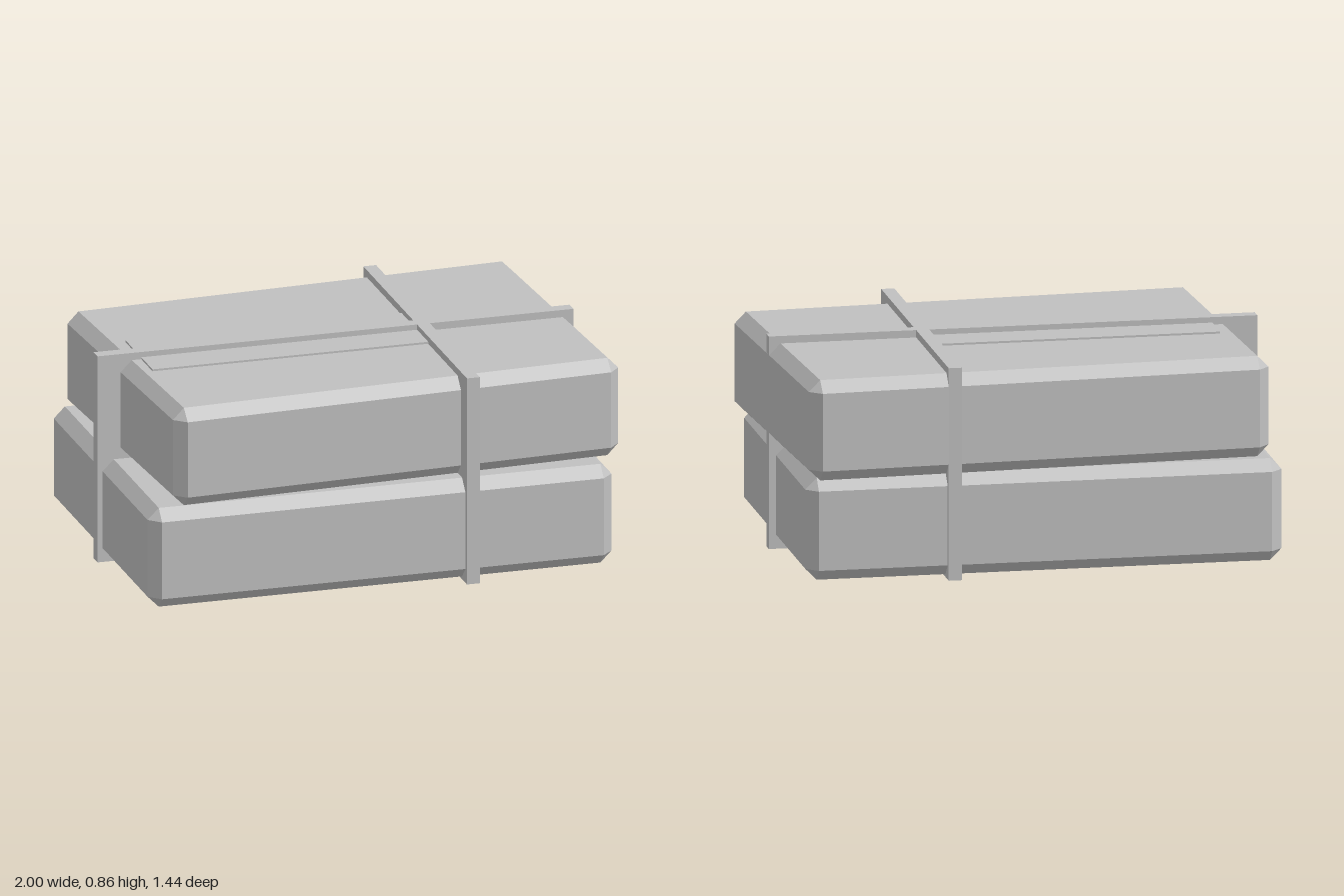
import * as THREE from 'three';
import { ConvexGeometry } from 'three/addons/geometries/ConvexGeometry.js';

// Box whose twelve edges are cut by a flat bevel, with triangular corners
function bevelledBox(w, h, d, b) {
  const points = [];
  for (const sx of [-1, 1]) for (const sy of [-1, 1]) for (const sz of [-1, 1]) {
    const x = w / 2, y = h / 2, z = d / 2;
    points.push(
      new THREE.Vector3(sx * x, sy * (y - b), sz * (z - b)),
      new THREE.Vector3(sx * (x - b), sy * y, sz * (z - b)),
      new THREE.Vector3(sx * (x - b), sy * (y - b), sz * z)
    );
  }
  return new ConvexGeometry(points);
}

export function createModel() {
  const group = new THREE.Group();
  const grey = new THREE.MeshStandardMaterial({ color: 0xc0c0c0 });
  grey.name = 'grey';

  function add(name, geometry, x, y, z, turn = 0) {
    const mesh = new THREE.Mesh(geometry, grey);
    mesh.name = name;
    mesh.position.set(x, y, z);
    mesh.rotation.y = turn;
    group.add(mesh);
  }

  // Two stacked parcels, the upper one slightly askew
  add('lowerParcel', bevelledBox(1.92, 0.414, 1.37, 0.046), -0.02, 0.219, 0.008);
  add('upperParcel', bevelledBox(1.874, 0.408, 1.326, 0.046), 0.03, 0.63, -0.017, 0.05);

  // Crossed straps standing proud of the stack on every side
  add('longStrap', new THREE.BoxGeometry(1.97, 0.864, 0.053), -0.016, 0.432, 0.008);
  add('crossStrap', new THREE.BoxGeometry(0.053, 0.864, 1.412), 0.348, 0.432, 0.008);

  // Thin label lying under the straps
  add('label', new THREE.BoxGeometry(1.17, 0.009, 0.366), -0.235, 0.8375, 0.004);

  return group;
}
